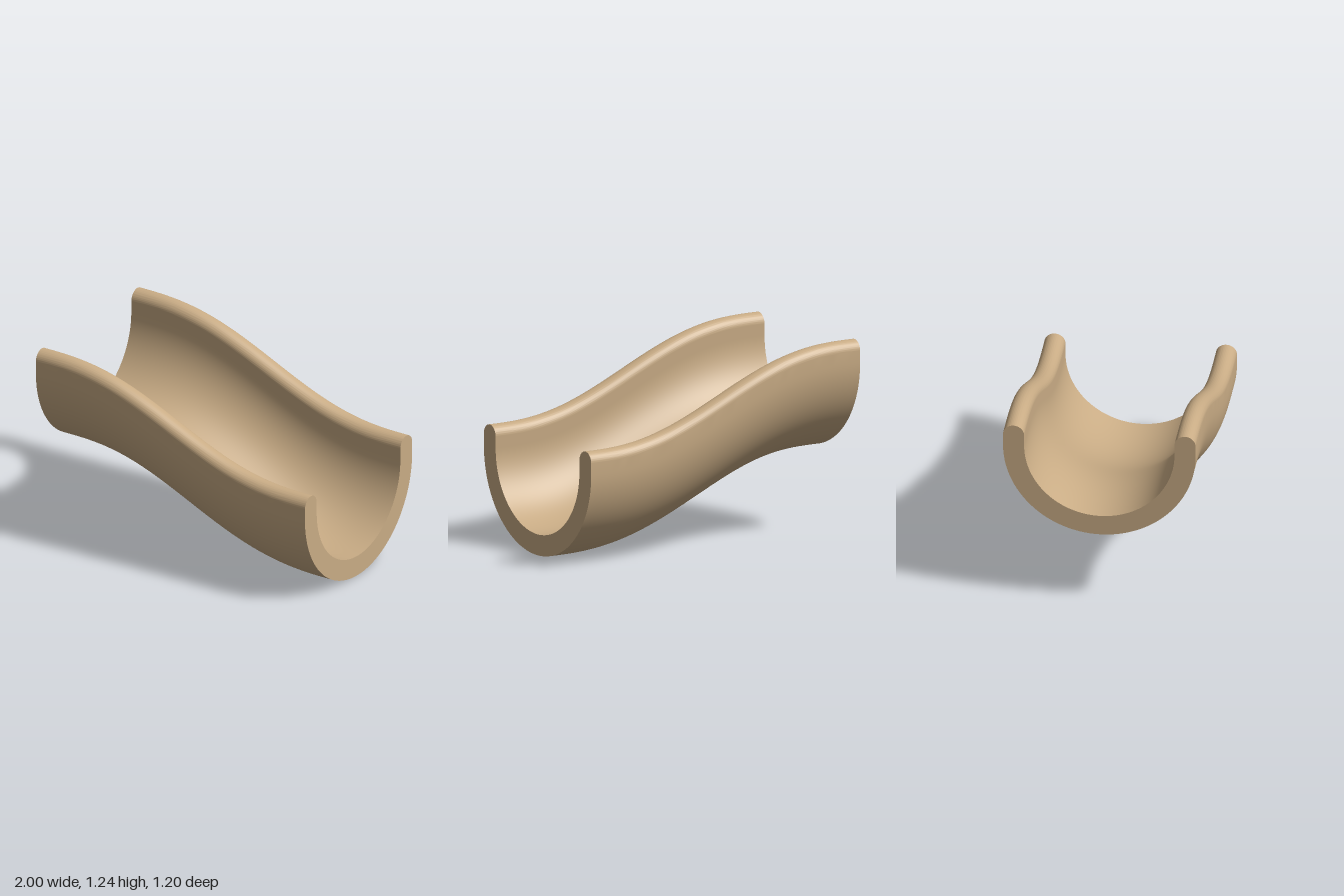
import * as THREE from 'three';
import { toCreasedNormals } from 'three/addons/utils/BufferGeometryUtils.js';

const LENGTH = 2, DROP = 0.5;
const OUTER = 0.602, INNER = 0.47, RIM_Y = 0.674;

// U-shaped section: round bottom, short straight walls, rounded rims
function channelSection() {
  const rim = (OUTER - INNER) / 2, mid = (OUTER + INNER) / 2;
  const s = new THREE.Shape();
  s.moveTo(-OUTER, RIM_Y);
  s.lineTo(-OUTER, OUTER);
  s.absarc(0, OUTER, OUTER, Math.PI, Math.PI * 2, false);
  s.lineTo(OUTER, RIM_Y);
  s.absarc(mid, RIM_Y, rim, 0, Math.PI, false);
  s.lineTo(INNER, OUTER);
  s.absarc(0, OUTER, INNER, 0, -Math.PI, true);
  s.lineTo(-INNER, RIM_Y);
  s.absarc(-mid, RIM_Y, rim, 0, Math.PI, false);
  return s;
}

export function createModel() {
  const model = new THREE.Group();
  model.name = 'slopedTrack';
  const wood = new THREE.MeshStandardMaterial({ color: 0xc9ac85 });
  wood.name = 'tan wood';

  // Straight channel running along x
  const geometry = new THREE.ExtrudeGeometry(channelSection(), {
    depth: LENGTH, steps: 40, curveSegments: 32, bevelEnabled: false,
  });
  geometry.translate(0, 0, -LENGTH / 2);
  geometry.rotateY(Math.PI / 2);

  // Raise each section along an S-curve that is level at both ends
  const p = geometry.attributes.position;
  for (let i = 0; i < p.count; i++) {
    const lift = DROP * (1 - THREE.MathUtils.smootherstep(p.getX(i), -LENGTH / 2, LENGTH / 2));
    p.setY(i, p.getY(i) + lift);
  }

  const channel = new THREE.Mesh(toCreasedNormals(geometry, Math.PI / 5), wood);
  channel.name = 'channel';
  model.add(channel);
  return model;
}
